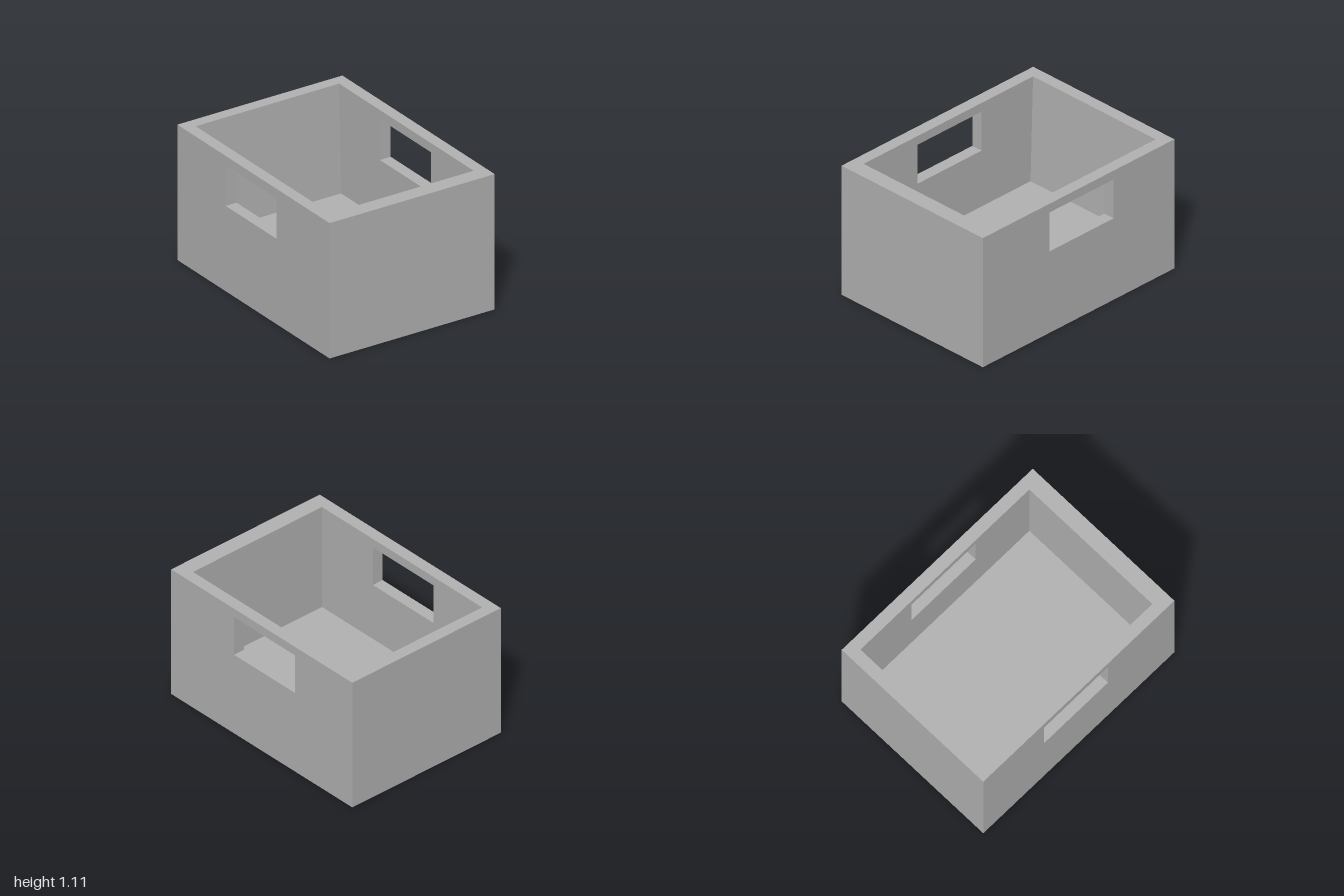
import * as THREE from 'three';
import { mergeGeometries } from 'three/addons/utils/BufferGeometryUtils.js';

// Outer half sizes and height, cavity limits, window opening
const X = 0.735, Z = 1, H = 1.11;
const IX = 0.638, FLOOR = 0.22, FRONT = 0.867, BACK_TOP = -0.901, BACK_LOW = -0.875;
const WIN = { z0: -0.365, z1: 0.305, y0: 0.70, y1: 1.035 };

const rect = (a, b, c, d) => [[a, b], [c, b], [c, d], [a, d]];
const toPath = (pts, s = 1) => pts.map(([u, v]) => new THREE.Vector2(s * u, v));

// Flat face: a 2D outline (with optional hole) placed in space by a mapping
function face(outline, place, hole) {
  const shape = new THREE.Shape(outline);
  if (hole) shape.holes.push(new THREE.Path(hole));
  const geo = new THREE.ShapeGeometry(shape);
  const pos = geo.attributes.position;
  for (let i = 0; i < pos.count; i++) pos.setXYZ(i, ...place(pos.getX(i), pos.getY(i)));
  geo.computeVertexNormals();
  return geo;
}

// Side wall face at x, looking along dir (+1 or -1), with the window cut out
function sideFace(outline, x, dir) {
  const hole = rect(WIN.z0, WIN.y0, WIN.z1, WIN.y1);
  return face(toPath(outline, -dir), (u, v) => [x, v, -dir * u], toPath(hole, -dir));
}

export function createModel() {
  const group = new THREE.Group();
  const grey = new THREE.MeshStandardMaterial({ color: 0xb3b3b3 });
  grey.name = 'grey';
  const add = (name, geos) => {
    const mesh = new THREE.Mesh(mergeGeometries(geos), grey);
    mesh.name = name;
    group.add(mesh);
  };

  // Outer walls
  const end = toPath(rect(-X, 0, X, H));
  const outerSide = rect(-Z, 0, Z, H);
  add('outerWalls', [
    face(end, (u, v) => [u, v, Z]),
    face(end, (u, v) => [-u, v, -Z]),
    sideFace(outerSide, X, 1),
    sideFace(outerSide, -X, -1),
  ]);

  // Cavity walls; the back one leans slightly outward
  const backZ = (y) => THREE.MathUtils.mapLinear(y, FLOOR, H, BACK_LOW, BACK_TOP);
  const innerEnd = toPath(rect(-IX, FLOOR, IX, H));
  const innerSide = [[BACK_LOW, FLOOR], [FRONT, FLOOR], [FRONT, H], [BACK_TOP, H]];
  add('innerWalls', [
    face(innerEnd, (u, v) => [-u, v, FRONT]),
    face(innerEnd, (u, v) => [u, v, backZ(v)]),
    sideFace(innerSide, IX, -1),
    sideFace(innerSide, -IX, 1),
  ]);

  // Sill, lintel and jambs of both windows
  for (const s of [1, -1]) {
    const flat = (k) => toPath(rect(s * IX, k * WIN.z0, s * X, k * WIN.z1));
    const jamb = (k) => toPath(rect(k * s * IX, WIN.y0, k * s * X, WIN.y1));
    add(s > 0 ? 'leftWindowReveal' : 'rightWindowReveal', [
      face(flat(-1), (u, v) => [u, WIN.y0, -v]),
      face(flat(1), (u, v) => [u, WIN.y1, v]),
      face(jamb(-1), (u, v) => [-u, v, WIN.z1]),
      face(jamb(1), (u, v) => [u, v, WIN.z0]),
    ]);
  }

  // Rim, floor and underside
  add('rim', [face(toPath(rect(-X, -Z, X, Z)), (u, v) => [u, H, -v],
    toPath(rect(-IX, -FRONT, IX, -BACK_TOP)))]);
  add('floor', [face(toPath(rect(-IX, -FRONT, IX, -BACK_LOW)), (u, v) => [u, FLOOR, -v])]);
  add('underside', [face(toPath(rect(-X, -Z, X, Z)), (u, v) => [u, 0, v])]);

  return group;
}
